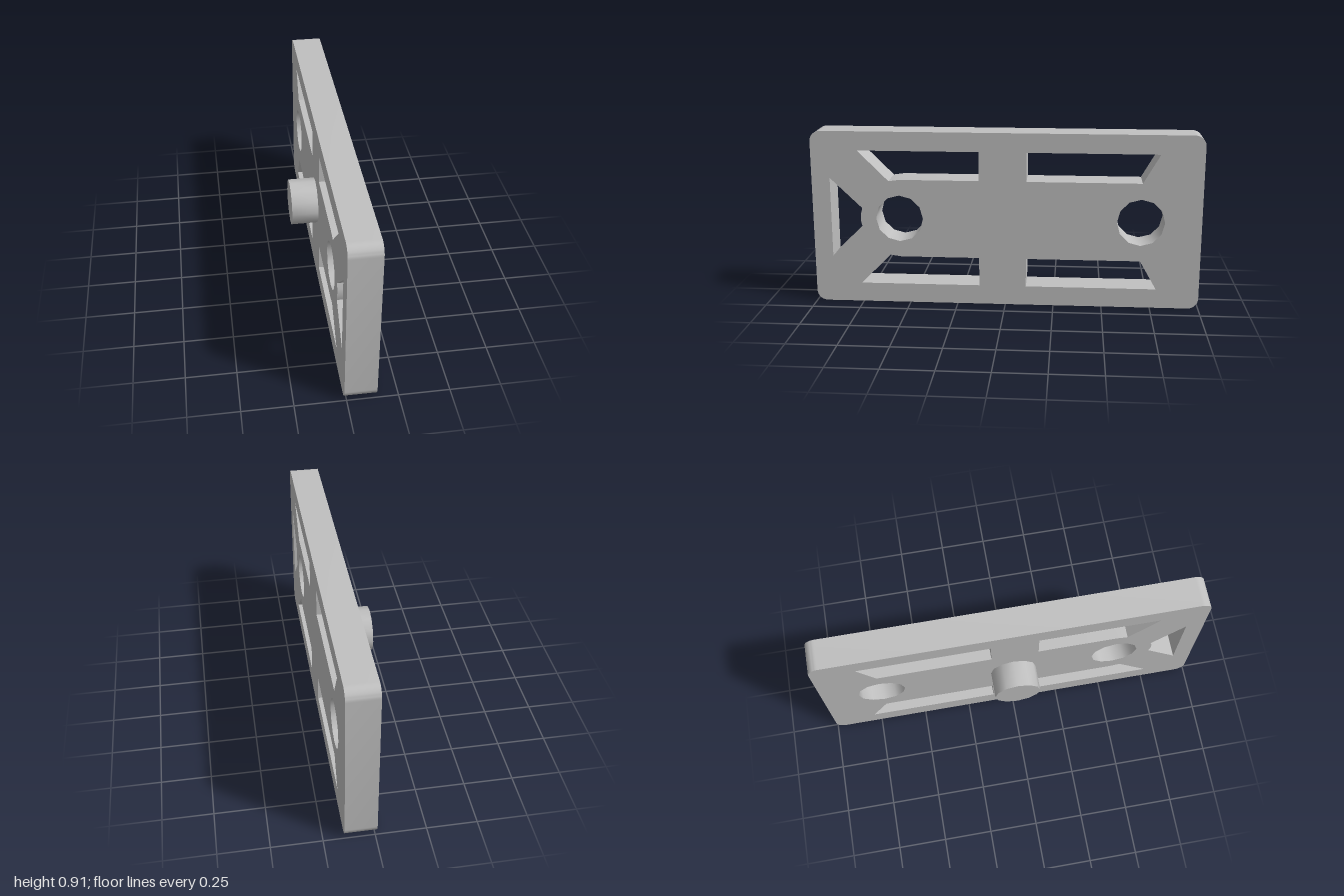
import * as THREE from 'three';
import { toCreasedNormals } from 'three/addons/utils/BufferGeometryUtils.js';

const LENGTH = 2, HEIGHT = 0.91, MID = 0.456;
const PLATE_X = -0.011, PLATE_DEPTH = 0.158, PEG_X = -0.147;
const CREASE = 0.6;

// Outlines are given as [z, y]; the shape's own x axis is -z.
const toPoints = (pts) => pts.map(([z, y]) => new THREE.Vector2(-z, y));
const flipY = (pts) => pts.map(([z, y]) => [z, 2 * MID - y]);

function circle(z, y, r, sides = 12) {
  return Array.from({ length: sides }, (_, i) => {
    const a = (i / sides) * Math.PI * 2;
    return [z + r * Math.cos(a), y + r * Math.sin(a)];
  });
}

// Rounded rectangle standing on y = 0
function plateOutline() {
  const r = 0.055, h = LENGTH / 2, s = new THREE.Shape();
  s.absarc(h - r, r, r, -Math.PI / 2, 0);
  s.absarc(h - r, HEIGHT - r, r, 0, Math.PI / 2);
  s.absarc(-h + r, HEIGHT - r, r, Math.PI / 2, Math.PI);
  s.absarc(-h + r, r, r, Math.PI, Math.PI * 1.5);
  s.closePath();
  return s;
}

export function createModel() {
  const group = new THREE.Group();
  group.name = 'mountingPlate';
  const grey = new THREE.MeshStandardMaterial({ color: 0xc0c0c0 });
  grey.name = 'grey';

  // Slots above and below the centre line, end window, round holes
  const frontSlot = [[0.758, 0.811], [0.136, 0.811], [0.136, 0.661], [0.545, 0.661], [0.6, 0.653]];
  const backSlot = [[-0.107, 0.811], [-0.78, 0.811], [-0.694, 0.661], [-0.107, 0.661]];
  const endWindow = [[0.905, 0.666], [0.741, 0.508], [0.75, 0.475], [0.75, 0.437], [0.741, 0.404], [0.905, 0.246]];
  const cutouts = [
    frontSlot, flipY(frontSlot), backSlot, flipY(backSlot), endWindow,
    circle(0.548, MID, 0.122), circle(-0.692, MID, 0.122),
  ];

  // Plate
  const outline = plateOutline();
  outline.holes = cutouts.map((c) => new THREE.Path(toPoints(c)));
  const plateGeo = new THREE.ExtrudeGeometry(outline, { depth: PLATE_DEPTH, bevelEnabled: false, curveSegments: 5 });
  plateGeo.rotateY(Math.PI / 2).translate(PLATE_X, 0, 0);
  const plate = new THREE.Mesh(toCreasedNormals(plateGeo, CREASE), grey);
  plate.name = 'plate';

  // Peg on the flat side, sunk slightly into the plate
  const pegLength = PLATE_X - PEG_X + 0.01;
  const pegGeo = new THREE.CylinderGeometry(0.119, 0.119, pegLength, 12);
  pegGeo.rotateZ(Math.PI / 2).translate(PEG_X + pegLength / 2, MID, 0.006);
  const peg = new THREE.Mesh(toCreasedNormals(pegGeo, CREASE), grey);
  peg.name = 'peg';

  group.add(plate, peg);
  return group;
}
